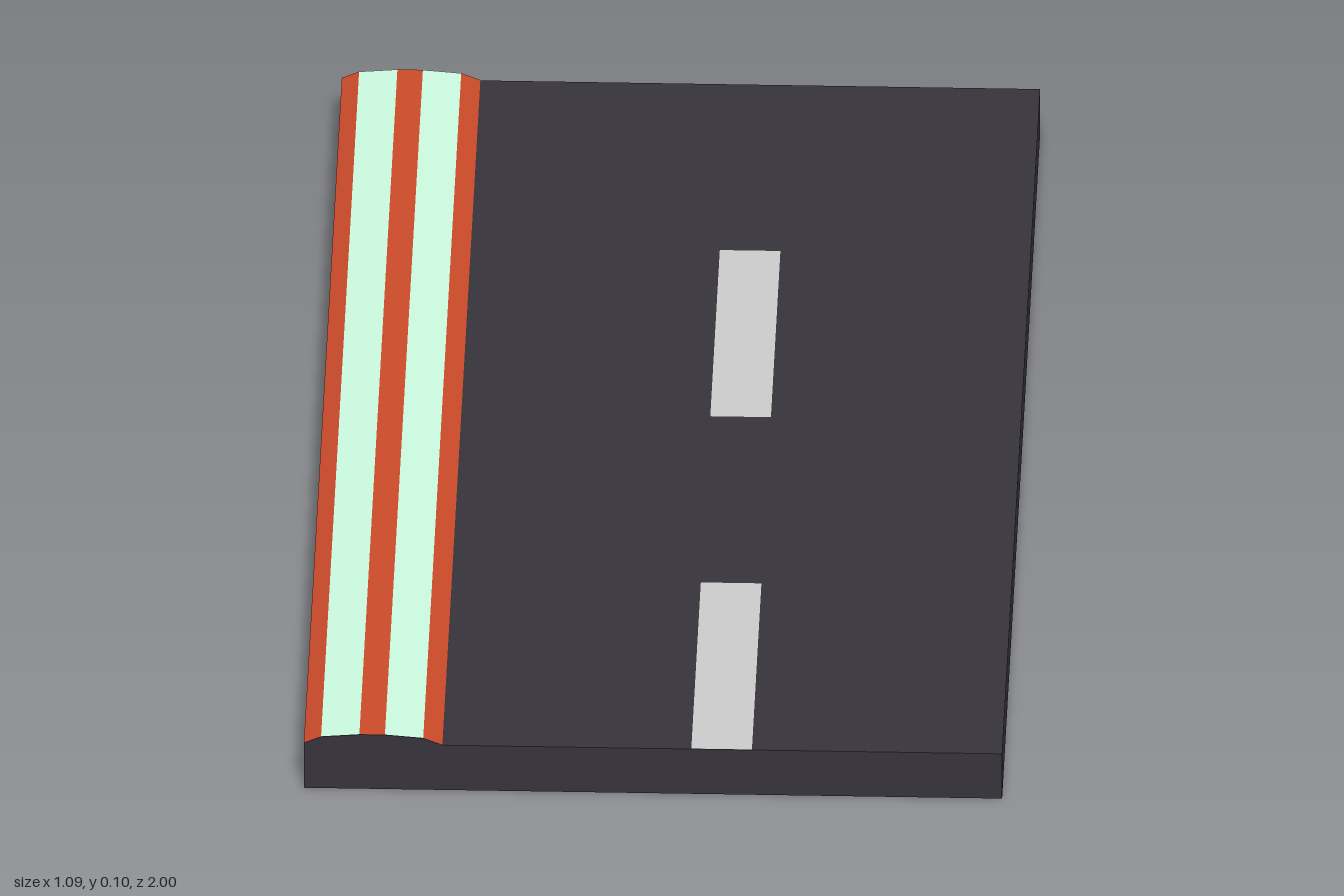
import * as THREE from 'three';

const LIFT = 0.0008; // paint sits just above the surface

export function createModel() {
  const group = new THREE.Group();
  const mat = (color) => new THREE.MeshStandardMaterial({ color, flatShading: true });
  const asphalt = mat(0x36333b);
  const red = mat(0xcc4a2a);
  const mint = mat(0xcafadf);
  const grey = mat(0xcccccc);

  // Raised kerb cross-section, outer edge to road edge
  const kerb = [
    [-0.547, 0.082], [-0.52, 0.094], [-0.46, 0.099],
    [-0.42, 0.099], [-0.36, 0.094], [-0.33, 0.082],
  ];

  // Road slab with the kerb hump in its profile
  const profile = new THREE.Shape();
  profile.moveTo(-0.547, 0);
  profile.lineTo(0.547, 0);
  profile.lineTo(0.547, 0.082);
  for (const [x, y] of [...kerb].reverse()) profile.lineTo(x, y);
  profile.closePath();
  const slabGeometry = new THREE.ExtrudeGeometry(profile, { depth: 2, bevelEnabled: false });
  slabGeometry.translate(0, 0, -1);
  const slab = new THREE.Mesh(slabGeometry, asphalt);
  slab.name = 'roadSlab';
  group.add(slab);

  // Flat painted strip between two profile points, running from z0 to z1
  function strip(name, [xa, ya], [xb, yb], z0, z1, material) {
    const geometry = new THREE.PlaneGeometry(Math.hypot(xb - xa, yb - ya), z1 - z0);
    geometry.rotateX(-Math.PI / 2);
    geometry.rotateZ(Math.atan2(yb - ya, xb - xa));
    geometry.translate((xa + xb) / 2, (ya + yb) / 2 + LIFT, (z0 + z1) / 2);
    const mesh = new THREE.Mesh(geometry, material);
    mesh.name = name;
    group.add(mesh);
  }

  // Alternating red and mint kerb stripes
  for (let i = 0; i < kerb.length - 1; i++) {
    strip(`kerbStripe${i + 1}`, kerb[i], kerb[i + 1], -1, 1, i % 2 ? mint : red);
  }

  // Dashed lane line
  [-0.5, 0.5].forEach((z, i) => {
    strip(`laneDash${i + 1}`, [0.06, 0.082], [0.155, 0.082], z, z + 0.5, grey);
  });

  return group;
}
